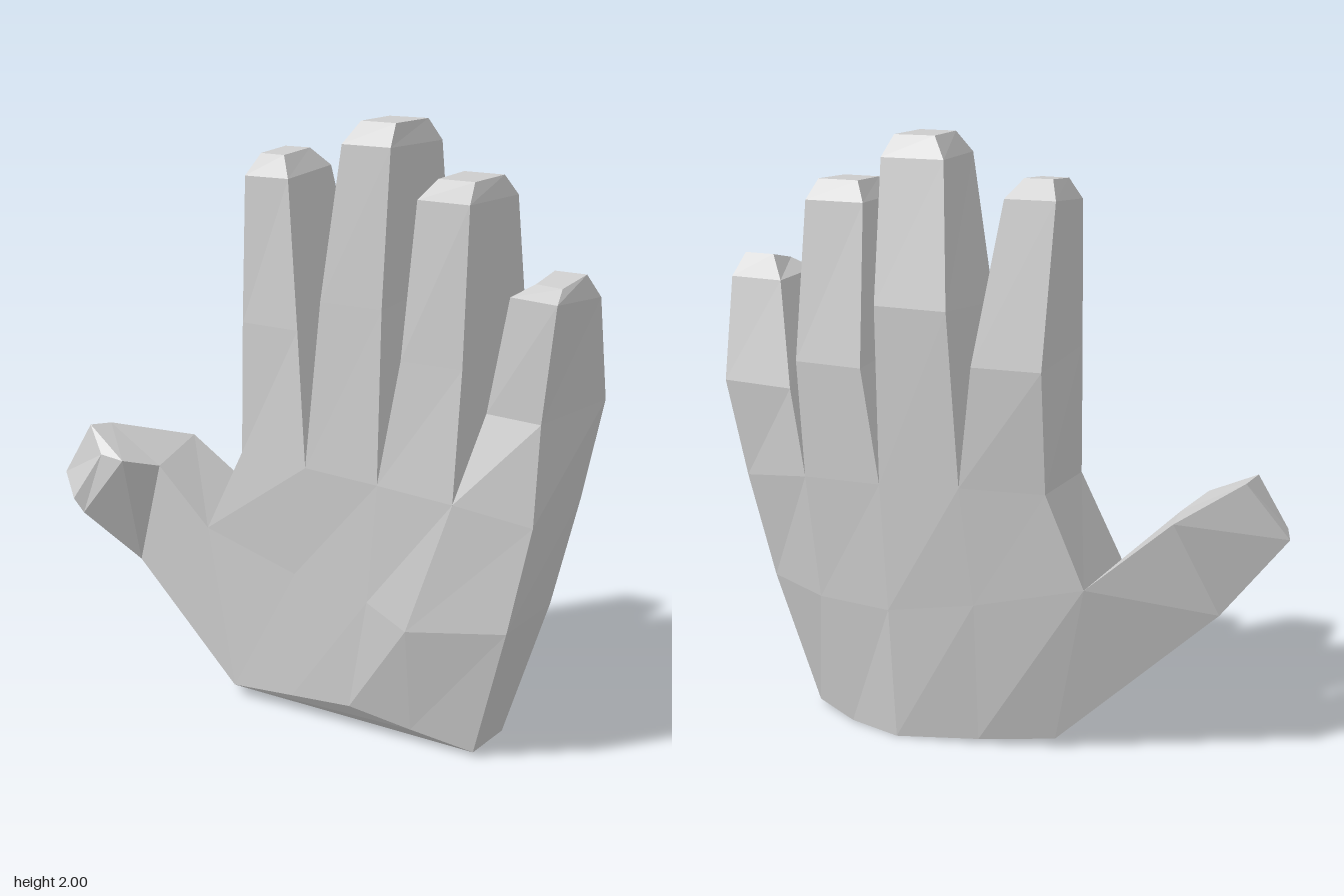
import * as THREE from 'three';

const material = new THREE.MeshStandardMaterial({ color: 0xcccccc, flatShading: true });

// Skin a list of equal-length rings; each ring runs counter-clockwise seen from the far end.
function loft(name, rings, { capStart = false, capEnd = false } = {}) {
  const pos = [];
  const tri = (a, b, c) => pos.push(...a, ...b, ...c);
  const n = rings[0].length;
  for (let r = 0; r < rings.length - 1; r++) {
    const a = rings[r], b = rings[r + 1];
    for (let i = 0; i < n; i++) {
      const j = (i + 1) % n;
      tri(a[i], a[j], b[j]);
      tri(a[i], b[j], b[i]);
    }
  }
  const first = rings[0], last = rings[rings.length - 1];
  for (let i = 1; i < n - 1; i++) {
    if (capStart) tri(first[0], first[i + 1], first[i]);
    if (capEnd) tri(last[0], last[i], last[i + 1]);
  }
  const geometry = new THREE.BufferGeometry();
  geometry.setAttribute('position', new THREE.Float32BufferAttribute(pos, 3));
  geometry.computeVertexNormals();
  const mesh = new THREE.Mesh(geometry, material);
  mesh.name = name;
  return mesh;
}

// Finger section: front pair of corners, then back pair.
const section = ([fx0, fx1, fy, fz0, fz1], [bx0, bx1, by, bz0, bz1]) => [
  [fx0, fy, fz0], [fx1, fy, fz1], [bx1, by, bz1], [bx0, by, bz0],
];

// Palm rows, each listed from the thumb side to the little-finger side
const wrist = {
  front: [[-0.28, 0.04, 0.12], [-0.03, 0.065, 0.145], [0.21, 0.09, 0.17], [0.43, 0.05, 0.15], [0.65, 0.015, 0.13]],
  back: [[-0.25, 0.03, -0.16], [0, 0.015, -0.22], [0.28, 0, -0.26], [0.47, 0.005, -0.2], [0.65, 0.01, -0.08]],
};
const middle = {
  front: [[-0.39, 0.59, 0.11], [-0.02, 0.5, 0.14], [0.28, 0.47, 0.18], [0.45, 0.42, 0.23], [0.79, 0.47, 0.2]],
  back: [[-0.37, 0.59, -0.24], [0, 0.5, -0.26], [0.3, 0.45, -0.27], [0.57, 0.45, -0.22], [0.79, 0.47, -0.12]],
};
const knuckles = {
  front: [[-0.245, 0.88, 0.11], [0.035, 0.88, 0.16], [0.315, 0.87, 0.18], [0.6, 0.86, 0.21], [0.86, 0.82, 0.18]],
  back: [[-0.245, 0.9, -0.26], [0.04, 0.9, -0.285], [0.325, 0.88, -0.27], [0.61, 0.87, -0.235], [0.87, 0.83, -0.15]],
};
const around = (row) => [...row.front, ...[...row.back].reverse()];

// Sections above the knuckles: middle joint, last joint, fingertip
const fingers = {
  indexFinger: [
    section([-0.25, -0.025, 1.32, 0.09, 0.11], [-0.24, -0.005, 1.3, -0.29, -0.29]),
    section([-0.255, -0.09, 1.8, 0.06, 0.06], [-0.25, -0.08, 1.82, -0.19, -0.19]),
    section([-0.225, -0.13, 1.87, 0.01, 0.02], [-0.22, -0.125, 1.88, -0.13, -0.13]),
  ],
  middleFinger: [
    section([0.08, 0.31, 1.43, 0.14, 0.15], [0.08, 0.335, 1.47, -0.285, -0.265]),
    section([0.14, 0.32, 1.93, 0.11, 0.12], [0.13, 0.35, 1.93, -0.17, -0.16]),
    section([0.18, 0.31, 2.0, 0.06, 0.07], [0.18, 0.32, 2.0, -0.12, -0.12]),
  ],
  ringFinger: [
    section([0.385, 0.605, 1.28, 0.16, 0.17], [0.39, 0.635, 1.26, -0.26, -0.23]),
    section([0.42, 0.61, 1.78, 0.13, 0.15], [0.42, 0.63, 1.78, -0.15, -0.14]),
    section([0.46, 0.59, 1.84, 0.07, 0.08], [0.46, 0.605, 1.845, -0.1, -0.09]),
  ],
  littleFinger: [
    section([0.665, 0.865, 1.14, 0.12, 0.155], [0.67, 0.935, 1.16, -0.21, -0.165]),
    section([0.735, 0.91, 1.51, 0.12, 0.165], [0.75, 0.945, 1.5, -0.1, -0.075]),
    section([0.8, 0.9, 1.55, 0.08, 0.11], [0.81, 0.92, 1.575, -0.03, -0.02]),
  ],
};

export function createModel() {
  const hand = new THREE.Group();
  hand.name = 'hand';

  hand.add(loft('palm', [wrist, middle, knuckles].map(around), { capStart: true }));

  // Each finger grows from its own stretch of the knuckle row
  Object.entries(fingers).forEach(([name, sections], i) => {
    const { front, back } = knuckles;
    const root = [front[i], front[i + 1], back[i + 1], back[i]];
    hand.add(loft(name, [root, ...sections], { capEnd: true }));
  });

  // Thumb: lower back, lower front, upper front, upper back corners
  hand.add(loft('thumb', [
    [wrist.back[0], wrist.front[0], middle.front[0], middle.back[0]],
    [[-0.78, 0.51, -0.1], [-0.67, 0.43, 0.12], [-0.59, 0.78, 0.11], [-0.64, 0.82, -0.17]],
    [[-0.95, 0.71, 0.14], [-0.8, 0.62, 0.27], [-0.65, 0.82, 0.24], [-0.81, 0.9, 0.09]],
    [[-0.93, 0.73, 0.2], [-0.83, 0.67, 0.285], [-0.74, 0.83, 0.24], [-0.83, 0.91, 0.18]],
  ], { capEnd: true }));

  return hand;
}
